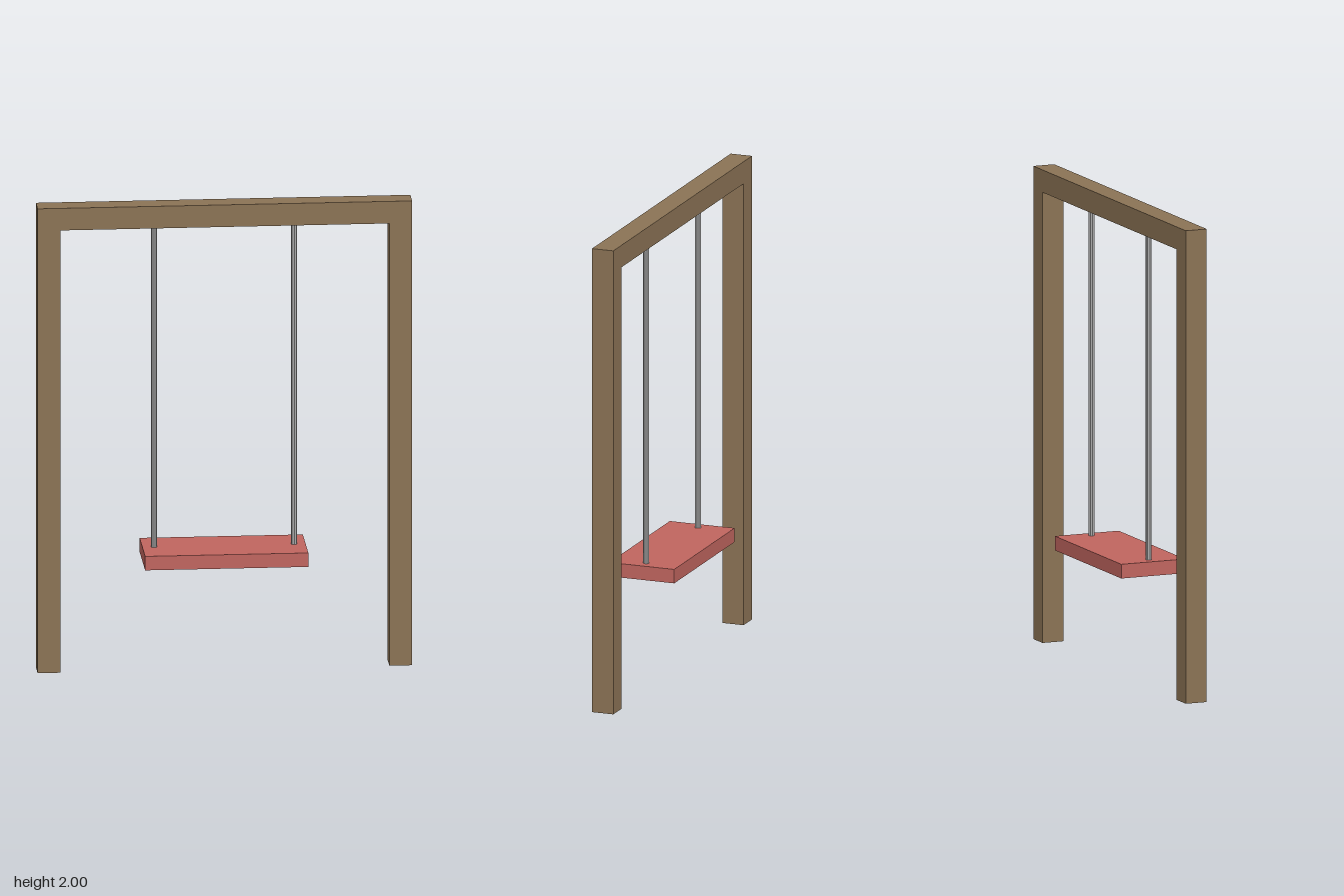
import * as THREE from 'three';

export function createModel() {
  const swing = new THREE.Group();
  swing.name = 'swing';

  const material = (name, color) => {
    const m = new THREE.MeshStandardMaterial({ color });
    m.name = name;
    return m;
  };
  const wood = material('brown wood', 0x8b7355);
  const paint = material('red seat', 0xc0655f);
  const metal = material('grey metal', 0xa9a9a9);
  metal.flatShading = true;

  const add = (name, geometry, mat, x, y) => {
    const mesh = new THREE.Mesh(geometry, mat);
    mesh.name = name;
    mesh.position.set(x, y, 0);
    swing.add(mesh);
  };

  const width = 1.56, height = 2, beam = 0.095;
  const seatTop = 0.52, seatThickness = 0.06;

  // One-piece frame: two posts joined by the crossbeam
  const w = width / 2, i = w - beam, under = height - beam;
  const outline = new THREE.Shape(
    [[-w, 0], [-i, 0], [-i, under], [i, under], [i, 0], [w, 0], [w, height], [-w, height]]
      .map(([x, y]) => new THREE.Vector2(x, y))
  );
  const frame = new THREE.ExtrudeGeometry(outline, { depth: beam, bevelEnabled: false });
  frame.translate(0, 0, -beam / 2);
  add('frame', frame, wood, 0, 0);

  // Seat board
  add('seat', new THREE.BoxGeometry(0.68, seatThickness, 0.29), paint, 0, seatTop - seatThickness / 2);

  // Hanging rods from the crossbeam to the seat
  const rodLength = under - seatTop;
  for (const side of [-1, 1]) {
    add(side > 0 ? 'leftRod' : 'rightRod',
      new THREE.CylinderGeometry(0.0125, 0.0125, rodLength, 8),
      metal, side * 0.292, seatTop + rodLength / 2);
  }

  return swing;
}
